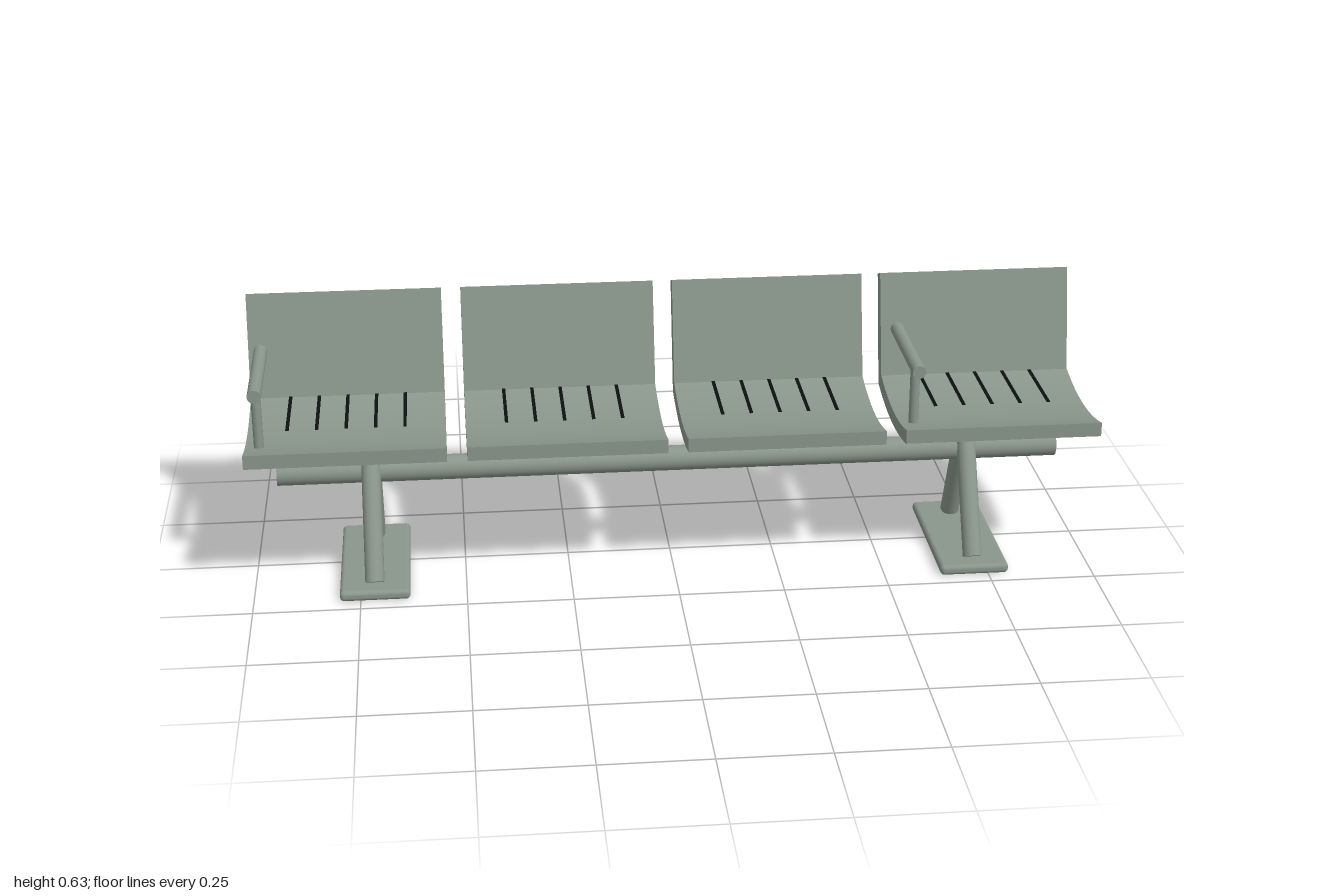
import * as THREE from 'three';
import { RoundedBoxGeometry } from 'three/addons/geometries/RoundedBoxGeometry.js';

const metal = new THREE.MeshStandardMaterial({ name: 'greyGreenMetal', color: 0x8a968c });
const dark = new THREE.MeshStandardMaterial({ name: 'slotBlack', color: 0x0c1010 });

const SEAT_WIDTH = 0.465;
const SEAT_PITCH = 0.5117;

function add(parent, name, geometry, material = metal) {
  const mesh = new THREE.Mesh(geometry, material);
  mesh.name = name;
  parent.add(mesh);
  return mesh;
}

// Solid round bar between two points
function bar(parent, name, from, to, radius) {
  const a = new THREE.Vector3(...from), b = new THREE.Vector3(...to);
  const dir = b.clone().sub(a);
  const mesh = add(parent, name, new THREE.CylinderGeometry(radius, radius, dir.length(), 32));
  mesh.position.copy(a).add(b).multiplyScalar(0.5);
  mesh.quaternion.setFromUnitVectors(new THREE.Vector3(0, 1, 0), dir.normalize());
  return mesh;
}

// Side profile of curved seat and leaning back, extruded across the width
function shellGeometry() {
  const s = new THREE.Shape(); // drawn as (-z, y)
  s.moveTo(-0.218, 0.353);
  s.quadraticCurveTo(-0.03, 0.306, 0.157, 0.353);
  s.lineTo(0.218, 0.619);
  s.lineTo(0.186, 0.632);
  s.lineTo(0.123, 0.387);
  s.quadraticCurveTo(-0.0475, 0.341, -0.218, 0.387);
  const g = new THREE.ExtrudeGeometry(s, { depth: SEAT_WIDTH, bevelEnabled: false, curveSegments: 20 });
  g.translate(0, 0, -SEAT_WIDTH / 2);
  g.rotateY(Math.PI / 2);
  return g;
}

function createSeat(shell, withArm) {
  const seat = new THREE.Group();
  seat.name = 'seat';
  add(seat, 'seatShell', shell);

  // Dark drainage slots
  for (let i = -2; i <= 2; i++) {
    const slot = add(seat, 'seatSlot', new THREE.BoxGeometry(0.008, 0.002, 0.205), dark);
    slot.position.set(i * 0.0685, 0.388, -0.0215);
  }

  if (withArm) {
    bar(seat, 'armrestPost', [-0.2, 0.365, 0.13], [-0.2, 0.51, 0.13], 0.0115);
    bar(seat, 'armrestBar', [-0.2, 0.515, 0.178], [-0.2, 0.515, -0.11], 0.016);
  }
  return seat;
}

function createStand() {
  const stand = new THREE.Group();
  stand.name = 'stand';
  bar(stand, 'frontLeg', [0, 0.032, 0.178], [0, 0.307, 0.028], 0.0227);
  bar(stand, 'backLeg', [0, 0.032, -0.0955], [0, 0.305, 0.026], 0.0227);
  add(stand, 'footPlate', new RoundedBoxGeometry(0.165, 0.025, 0.375, 3, 0.01)).position.set(0, 0.0125, 0.0275);
  return stand;
}

export function createModel() {
  const bench = new THREE.Group();
  bench.name = 'bench';

  // Four seats, armrests on the outer two
  const shell = shellGeometry();
  for (let i = 0; i < 4; i++) {
    const seat = createSeat(shell, i === 0 || i === 3);
    seat.position.x = (i - 1.5) * SEAT_PITCH;
    bench.add(seat);
  }

  // Support beam and the two A-shaped stands
  bar(bench, 'supportBeam', [-0.938, 0.256, 0.028], [0.938, 0.256, 0.028], 0.03);
  for (const side of [-1, 1]) {
    const stand = createStand();
    stand.position.x = side * 0.716;
    bench.add(stand);
  }
  return bench;
}
